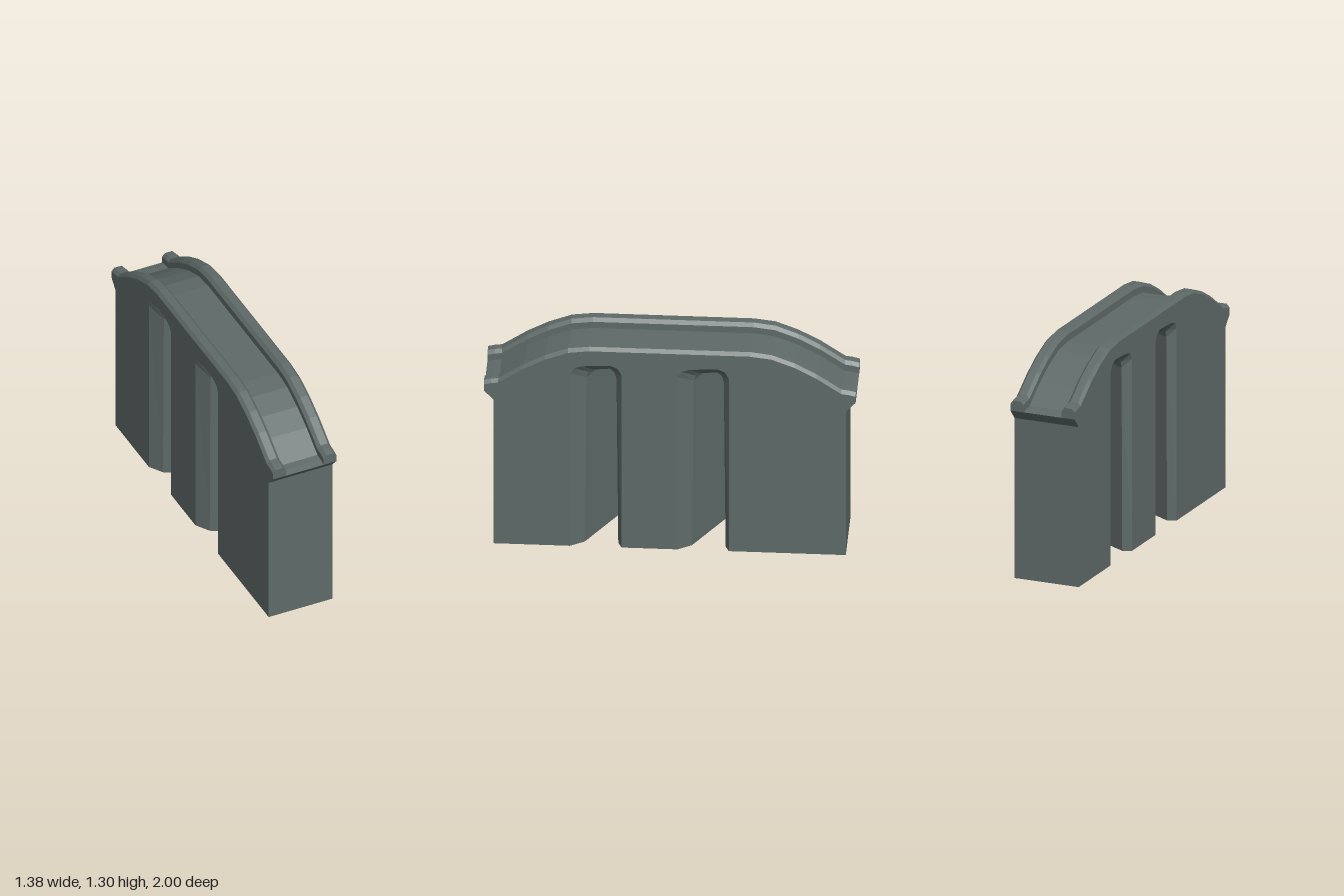
import * as THREE from 'three';

// Joins matching rings of points and caps both ends; u and v are the ring's plane axes
function loft(rings, u, v) {
  const flat = rings[0].map(p => new THREE.Vector2(p[u], p[v]));
  if (THREE.ShapeUtils.isClockWise(flat)) {
    flat.reverse();
    rings = rings.map(r => [...r].reverse());
  }
  const pos = [];
  const tri = (a, b, c) => [a, b, c].forEach(p => pos.push(p.x, p.y, p.z));
  for (let i = 0; i + 1 < rings.length; i++) {
    const a = rings[i], b = rings[i + 1];
    a.forEach((p, j) => {
      const k = (j + 1) % a.length;
      tri(p, a[k], b[k]);
      tri(p, b[k], b[j]);
    });
  }
  const cap = (ring, flip) => {
    const pts = ring.map(p => new THREE.Vector2(p[u], p[v]));
    for (const [a, b, c] of THREE.ShapeUtils.triangulateShape(pts, [])) {
      if (flip) tri(ring[a], ring[c], ring[b]);
      else tri(ring[a], ring[b], ring[c]);
    }
  };
  cap(rings[0], true);
  cap(rings[rings.length - 1], false);
  const g = new THREE.BufferGeometry();
  g.setAttribute('position', new THREE.Float32BufferAttribute(pos, 3));
  g.computeVertexNormals();
  return g;
}

export function createModel() {
  const model = new THREE.Group();
  model.name = 'archedBridge';
  const stone = new THREE.MeshStandardMaterial({ color: 0x5f6b69 });
  stone.name = 'grey stone';

  const W = 0.197;      // half width
  const railH = 0.06;   // parapet height above the deck
  const V = (x, y, z) => new THREE.Vector3(x, y, z);

  // Arched crest, right half mirrored to the left
  const half = [[1.04, 1.06], [1.0, 1.07], [0.96, 1.075], [0.82, 1.17],
    [0.70, 1.235], [0.57, 1.285], [0.45, 1.3]];
  const crest = [...half, ...half.map(([x, y]) => [-x, y]).reverse()];

  // Outline of the body with its two openings, which run askew through the width
  const bodyRing = (z, inset) => {
    const ring = [V(-0.985, 0, z)];
    for (const z0 of [-0.26, 0.26]) {
      const c = (z0 - 0.5 * z) / 0.866;
      const h = 0.144 - inset, top = 1.19 - inset, t = h - inset * 0.2;
      ring.push(V(c - h, 0, z), V(c - t, top - 0.06, z), V(c - t * 0.85, top - 0.02, z),
        V(c - t * 0.55, top, z), V(c + t * 0.55, top - 0.01, z),
        V(c + t * 0.85, top - 0.025, z), V(c + t, top - 0.06, z), V(c + h, 0, z));
    }
    ring.push(V(0.985, 0, z), V(0.985, 0.94, z));
    crest.forEach(([x, y]) => ring.push(V(x, y - railH, z)));
    ring.push(V(-0.985, 0.94, z));
    return ring;
  };
  const body = new THREE.Mesh(loft([
    bodyRing(-W, 0), bodyRing(-W + 0.05, 0.05),
    bodyRing(W - 0.05, 0.05), bodyRing(W, 0),
  ], 'x', 'y'), stone);
  body.name = 'bodyWithPiers';
  model.add(body);

  // Chamfered parapets following the crest
  const section = [[W, -railH], [W, -0.02], [0.18, 0], [0.135, 0], [0.117, -0.02], [0.117, -railH]];
  const path = [...crest].reverse();
  for (const side of [-1, 1]) {
    const rings = path.map(([x, y]) => section.map(([z, dy]) => V(x, y + dy, side * z)));
    const rail = new THREE.Mesh(loft(rings, 'y', 'z'), stone);
    rail.name = side > 0 ? 'rightParapet' : 'leftParapet';
    model.add(rail);
  }

  // The bridge stands diagonally
  model.rotation.y = -Math.PI / 3;
  const group = new THREE.Group();
  group.name = 'bridge';
  group.add(model);
  return group;
}
